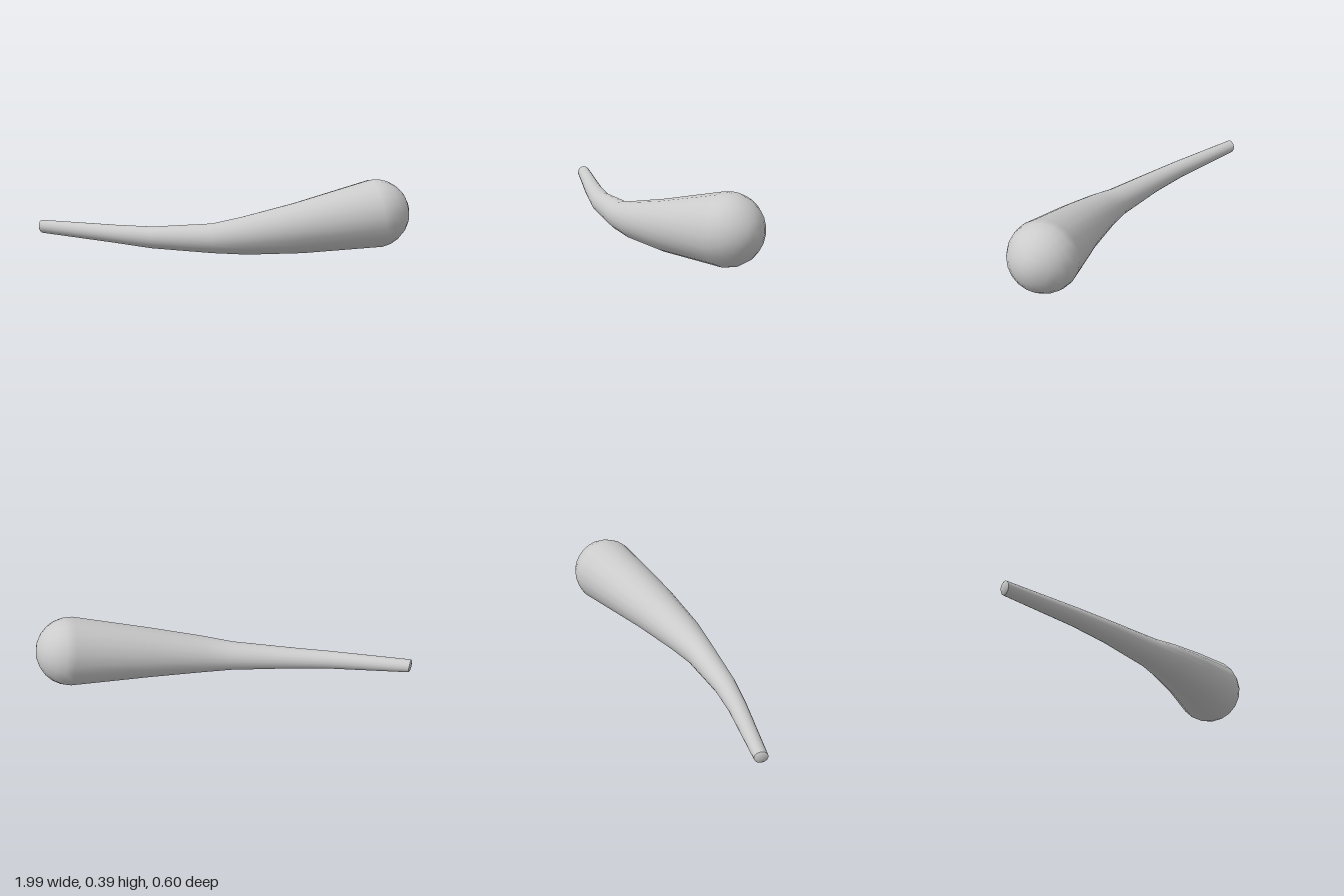
import * as THREE from 'three';

const SIDES = 20;

// Skin of round sections: each section is { c: centre, r: radius, t: axis }
function skin(sections, closeStart, closeEnd) {
  const pos = [], idx = [];
  const up = new THREE.Vector3(0, 1, 0);
  for (const { c, r, t } of sections) {
    const s = new THREE.Vector3().crossVectors(t, up).normalize();
    const u = new THREE.Vector3().crossVectors(s, t);
    for (let j = 0; j < SIDES; j++) {
      const a = (j / SIDES) * Math.PI * 2;
      const p = c.clone().addScaledVector(s, r * Math.cos(a)).addScaledVector(u, r * Math.sin(a));
      pos.push(p.x, p.y, p.z);
    }
  }
  const at = (i, j) => i * SIDES + (j % SIDES);
  for (let i = 0; i < sections.length - 1; i++)
    for (let j = 0; j < SIDES; j++)
      idx.push(at(i, j), at(i + 1, j), at(i, j + 1), at(i + 1, j), at(i + 1, j + 1), at(i, j + 1));
  // End points closed with a fan
  const pole = (p, row, flip) => {
    const k = pos.length / 3;
    pos.push(p.x, p.y, p.z);
    for (let j = 0; j < SIDES; j++)
      idx.push(k, at(row, flip ? j + 1 : j), at(row, flip ? j : j + 1));
  };
  if (closeStart) pole(closeStart, 0, false);
  if (closeEnd) pole(closeEnd, sections.length - 1, true);
  const g = new THREE.BufferGeometry();
  g.setAttribute('position', new THREE.Float32BufferAttribute(pos, 3));
  g.setIndex(idx);
  g.computeVertexNormals();
  return g;
}

export function createModel() {
  const group = new THREE.Group();
  group.name = 'curvedClub';
  const mat = new THREE.MeshStandardMaterial({ color: 0xcccccc });
  const add = (name, geo) => {
    const m = new THREE.Mesh(geo, mat);
    m.name = name;
    group.add(m);
  };

  // Centre line and radius from the thin tip to the heavy head: x, y, z, r
  const sections = [
    [-0.974, 0.119, -0.274, 0.036],
    [-0.585, 0.1, -0.08, 0.049],
    [-0.385, 0.089, 0.008, 0.059],
    [-0.07, 0.092, 0.1, 0.08],
    [0.1, 0.107, 0.127, 0.103],
    [0.385, 0.143, 0.138, 0.137],
    [0.814, 0.211, 0.114, 0.186],
  ].map(([x, y, z, r]) => ({ c: new THREE.Vector3(x, y, z), r }));
  sections.forEach((s, i) => {
    const a = sections[Math.max(i - 1, 0)].c;
    const b = sections[Math.min(i + 1, sections.length - 1)].c;
    s.t = b.clone().sub(a).normalize();
  });
  const tip = sections[0];
  tip.t.set(0.86, 0.1, 0.5).normalize();

  // Half-ball head continuing the shaft
  const { c, r, t } = sections[sections.length - 1];
  const steps = 6;
  for (let i = 1; i < steps; i++) {
    const a = (i / steps) * Math.PI / 2;
    sections.push({ c: c.clone().addScaledVector(t, r * Math.sin(a)), r: r * Math.cos(a), t });
  }
  add('shaftAndHead', skin(sections, null, c.clone().addScaledVector(t, r)));

  // Slightly domed end of the handle
  const rim = { c: tip.c.clone().addScaledVector(tip.t, -0.007), r: 0.026, t: tip.t };
  add('tipCap', skin([rim, tip], tip.c.clone().addScaledVector(tip.t, -0.01), null));

  return group;
}
